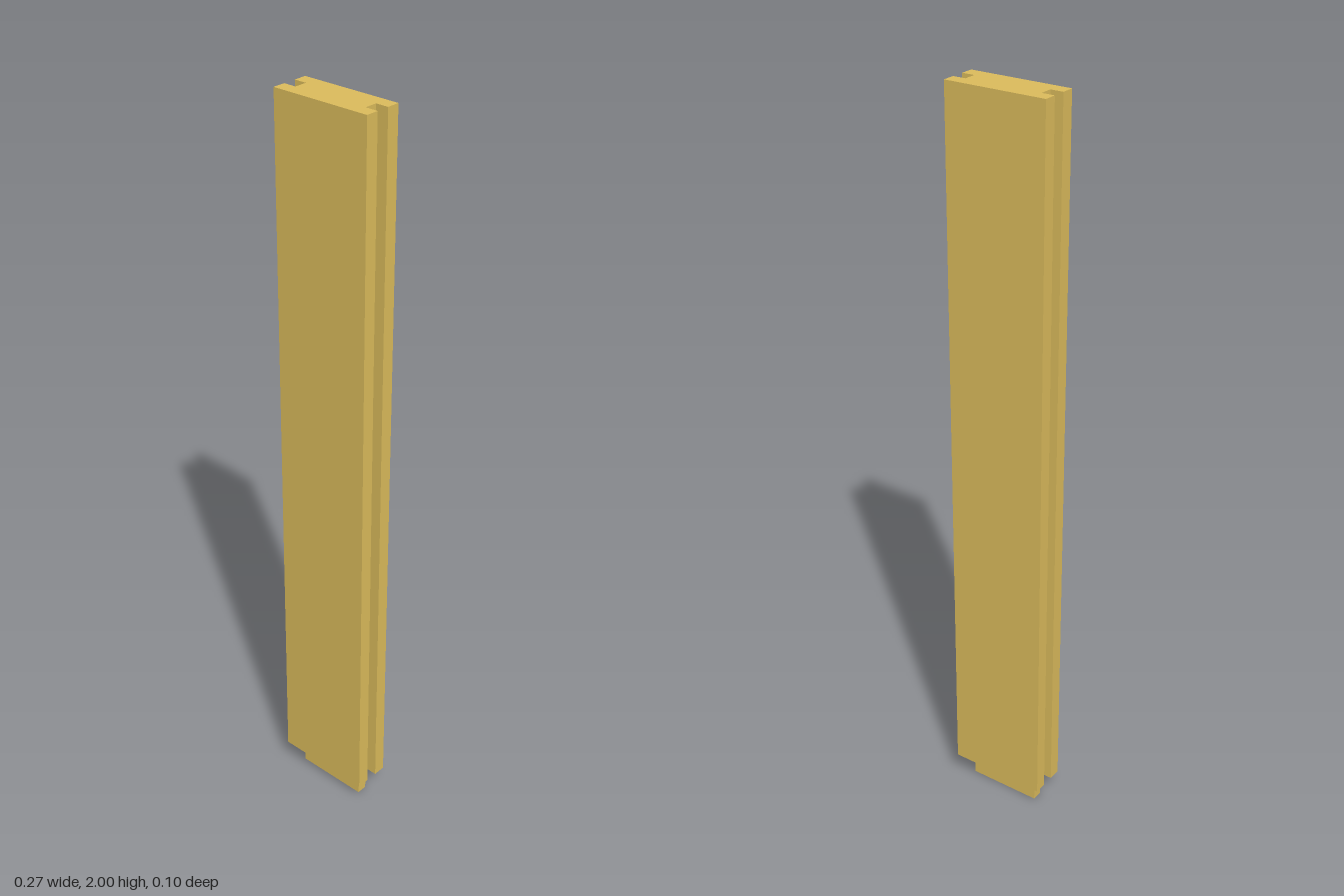
import * as THREE from 'three';

export function createModel() {
  const group = new THREE.Group();
  const material = new THREE.MeshStandardMaterial({ color: 0xdcbc5c });

  const halfWidth = 0.1365, halfDepth = 0.0512;
  const coreHalf = 0.1025, grooveHalf = 0.017;
  const shoulder = 0.07, height = 2;

  // Stile: cross-section with a groove along each side edge, extruded upward
  const section = new THREE.Shape([
    [-halfWidth, -halfDepth], [halfWidth, -halfDepth],
    [halfWidth, -grooveHalf], [coreHalf, -grooveHalf],
    [coreHalf, grooveHalf], [halfWidth, grooveHalf],
    [halfWidth, halfDepth], [-halfWidth, halfDepth],
    [-halfWidth, grooveHalf], [-coreHalf, grooveHalf],
    [-coreHalf, -grooveHalf], [-halfWidth, -grooveHalf],
  ].map(([x, y]) => new THREE.Vector2(x, y)));
  const stileGeometry = new THREE.ExtrudeGeometry(section, {
    depth: height - shoulder, bevelEnabled: false,
  });
  stileGeometry.rotateX(-Math.PI / 2);
  const stile = new THREE.Mesh(stileGeometry, material);
  stile.name = 'groovedStile';
  stile.position.y = shoulder;
  group.add(stile);

  // Tenon: thin tongue below the shoulder
  const tenon = new THREE.Mesh(
    new THREE.BoxGeometry(coreHalf * 2, shoulder, 0.029), material);
  tenon.name = 'tenon';
  tenon.position.y = shoulder / 2;
  group.add(tenon);

  return group;
}
